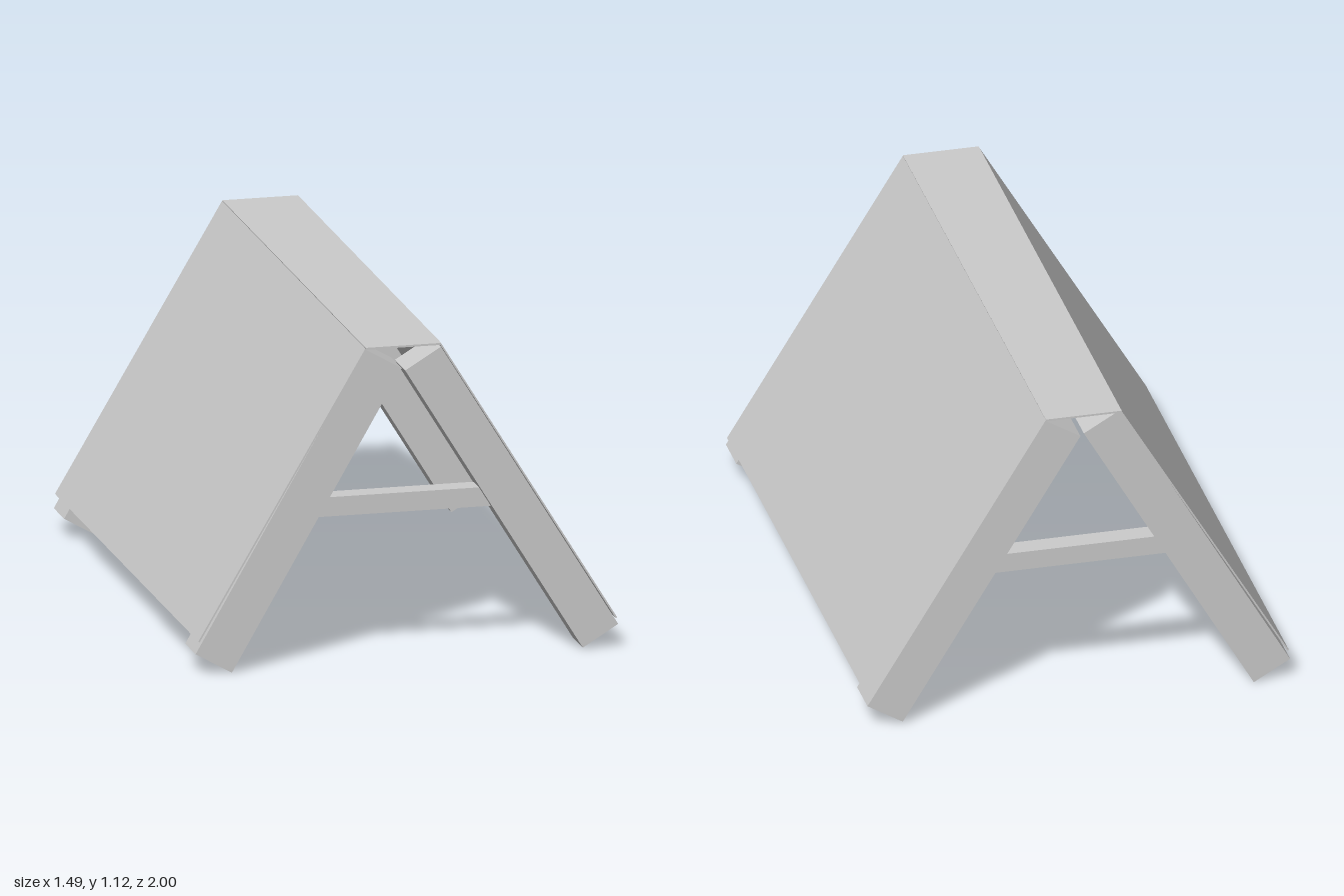
import * as THREE from 'three';

const material = new THREE.MeshStandardMaterial({ color: 0xcccccc, flatShading: true });

// Extrudes an outline in the xy plane from z0 to z1
function slab(name, points, z0, z1) {
  const shape = new THREE.Shape(points.map(([x, y]) => new THREE.Vector2(x, y)));
  const geometry = new THREE.ExtrudeGeometry(shape, { depth: z1 - z0, bevelEnabled: false });
  geometry.translate(0, 0, z0);
  const mesh = new THREE.Mesh(geometry, material);
  mesh.name = name;
  return mesh;
}

// Outlines of the leaning legs and the brace between them
const rightLeg = [[-0.62, 0.003], [-0.02, 1.043], [-0.148, 1.117], [-0.748, 0.077]];
const leftLeg = [[0.619, 0.01], [0.744, 0.086], [0.118, 1.11], [-0.008, 1.034]];
const brace = [[-0.318, 0.525], [0.303, 0.525], [0.261, 0.593], [-0.279, 0.593]];

function createFrame(name, z0, z1) {
  const frame = new THREE.Group();
  frame.name = name;
  const middle = (z0 + z1) / 2;
  frame.add(
    slab('rightLeg', rightLeg, z0, z1),
    slab('leftLeg', leftLeg, z0, z1),
    slab('crossBrace', brace, middle - 0.038, middle + 0.038)
  );
  return frame;
}

export function createModel() {
  const model = new THREE.Group();
  model.name = 'aFrameShelter';

  // A-shaped end frames
  model.add(createFrame('frontFrame', 0.853, 0.998));
  model.add(createFrame('backFrame', -0.981, -0.836));

  // Thin roof sheets: two slopes and the flat ridge
  model.add(slab('rightRoofPanel',
    [[-0.739, 0.122], [-0.734, 0.119], [-0.145, 1.118], [-0.149, 1.122]], -1, 1));
  model.add(slab('leftRoofPanel',
    [[0.735, 0.107], [0.74, 0.11], [0.119, 1.122], [0.115, 1.118]], -1, 1));
  model.add(slab('ridgePanel',
    [[-0.146, 1.117], [0.116, 1.117], [0.119, 1.124], [-0.149, 1.124]], -1, 1));

  return model;
}
